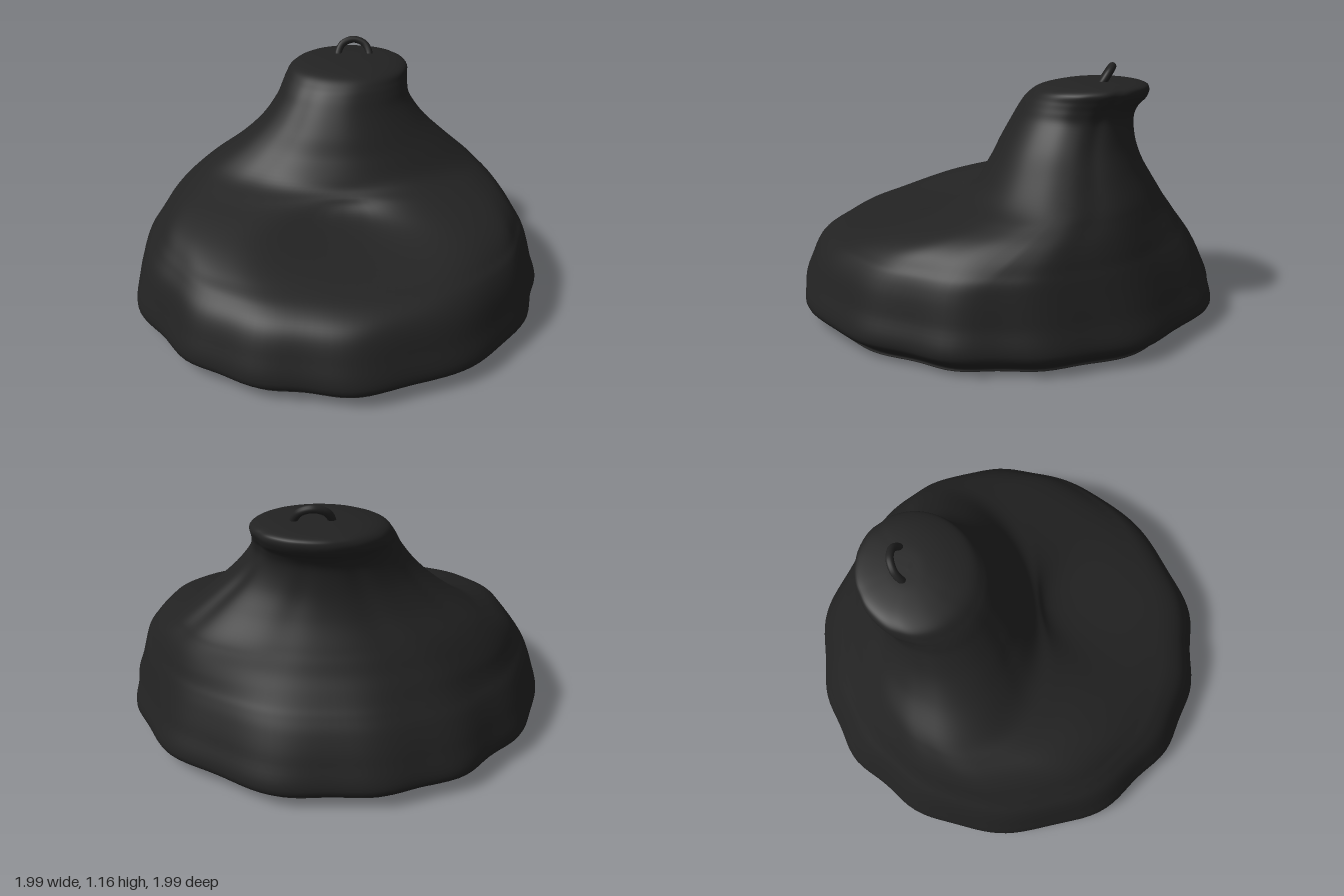
import * as THREE from 'three';

// Rows from floor to crown: [y, xMin, xMax, zFront, zBack]
const ROWS = [
  [0.0, -0.915, 0.915, 0.91, -0.905], [0.02, -0.92, 0.92, 0.915, -0.91],
  [0.08, -0.99, 0.99, 0.99, -0.99], [0.2, -0.965, 0.96, 0.955, -0.95],
  [0.3, -0.93, 0.935, 0.905, -0.9], [0.36, -0.89, 0.915, 0.83, -0.86],
  [0.4, -0.86, 0.89, 0.72, -0.83], [0.45, -0.82, 0.855, 0.56, -0.795],
  [0.5, -0.765, 0.81, 0.4, -0.76], [0.55, -0.695, 0.75, 0.25, -0.73],
  [0.6, -0.62, 0.69, 0.14, -0.7], [0.7, -0.475, 0.57, 0.07, -0.645],
  [0.8, -0.365, 0.46, 0.02, -0.61], [0.9, -0.29, 0.385, -0.035, -0.6],
  [0.96, -0.26, 0.37, -0.07, -0.62], [1.0, -0.24, 0.37, -0.1, -0.655],
  [1.04, -0.21, 0.37, -0.15, -0.665], [1.065, -0.14, 0.32, -0.24, -0.64],
  [1.078, -0.03, 0.2, -0.34, -0.53], [1.08, 0.07, 0.08, -0.42, -0.43],
];
// Cloth folds running down from the neck: [angle in degrees, depth, drift]
const FOLDS = [[-28, 0.03, 10], [128, 0.016, 8], [200, 0.015, 14], [250, 0.02, -10], [285, 0.014, 6]];
const SEGMENTS = 144, STEPS = 114;

const bump = (v, centre, width) => Math.exp(-(((v - centre) / width) ** 2));
const signedPow = (v, p) => Math.sign(v) * Math.abs(v) ** p;

// Irregular scallops around the hem, plus the folds higher up
function ripple(a, y) {
  const hem = 0.011 * Math.sin(14 * a + 0.8 * Math.sin(3 * a)) + 0.006 * Math.sin(9 * a + 1);
  let r = hem * Math.max(0.1, 1 - y / 0.65);
  for (const [deg, depth, drift] of FOLDS) {
    const centre = THREE.MathUtils.degToRad(deg + drift * (1 - y));
    const d = Math.atan2(Math.sin(a - centre), Math.cos(a - centre));
    r -= depth * bump(d, 0, 0.13) * bump(y, 0.8, 0.28);
  }
  return r;
}

// One horizontal section, with a dished seat at the front
function section(y, x0, x1, z1, z0) {
  const cx = (x0 + x1) / 2, cz = (z0 + z1) / 2;
  const rx = (x1 - x0) / 2, rz = (z1 - z0) / 2;
  const seat = bump(y, 0.48, 0.075);
  const points = [];
  for (let j = 0; j < SEGMENTS; j++) {
    const a = (j / SEGMENTS) * Math.PI * 2;
    const power = Math.sin(a) > 0 ? 2 / (2 + 0.9 * seat) : 1;
    const w = 1 + ripple(a, y);
    const x = cx + rx * w * signedPow(Math.cos(a), power);
    let z = cz + rz * w * signedPow(Math.sin(a), power);
    if (Math.sin(a) > 0) z -= 0.2 * seat * bump(x, 0.04, 0.32) * Math.sin(a);
    points.push(new THREE.Vector3(x, y, z));
  }
  return points;
}

function bagGeometry(rings) {
  const positions = [], index = [];
  rings.forEach((ring) => ring.forEach((p) => positions.push(p.x, p.y, p.z)));
  for (let i = 0; i < rings.length - 1; i++) {
    for (let j = 0; j < SEGMENTS; j++) {
      const k = (j + 1) % SEGMENTS;
      const a = i * SEGMENTS + j, b = i * SEGMENTS + k;
      index.push(a, a + SEGMENTS, b, b, a + SEGMENTS, b + SEGMENTS);
    }
  }
  // Close the crown
  const last = (rings.length - 1) * SEGMENTS, tip = positions.length / 3;
  positions.push(0.075, 1.08, -0.425);
  for (let j = 0; j < SEGMENTS; j++) index.push(last + j, tip, last + ((j + 1) % SEGMENTS));
  const geometry = new THREE.BufferGeometry();
  geometry.setAttribute('position', new THREE.Float32BufferAttribute(positions, 3));
  geometry.setIndex(index);
  geometry.computeVertexNormals();
  return geometry;
}

export function createModel() {
  const group = new THREE.Group();
  group.name = 'beanBagChair';
  const fabric = new THREE.MeshStandardMaterial({ color: 0x222222 });
  fabric.name = 'black fabric';
  const add = (name, geometry) => {
    const mesh = new THREE.Mesh(geometry, fabric);
    mesh.name = name;
    group.add(mesh);
    return mesh;
  };

  // Smooth the rows into closely spaced sections
  const curve = (f) => new THREE.CatmullRomCurve3(ROWS.map(f), false, 'catmullrom', 0.5);
  const sides = curve(([y, x0, x1]) => new THREE.Vector3(x0, y, x1));
  const ends = curve(([y, , , z1, z0]) => new THREE.Vector3(z1, y, z0));
  const rings = [];
  for (let i = 0; i <= STEPS; i++) {
    const s = sides.getPoint(i / STEPS), e = ends.getPoint(i / STEPS);
    rings.push(section(Math.max(0, s.y), s.x, s.z, e.x, e.z));
  }
  add('bag', bagGeometry(rings));

  // Flat underside
  const outline = new THREE.Shape(rings[0].map((p) => new THREE.Vector2(p.x, p.z)));
  add('underside', new THREE.ShapeGeometry(outline).rotateX(Math.PI / 2));

  // Carrying loop on the crown, leaning back
  const loop = new THREE.CatmullRomCurve3([
    [-0.078, -0.03], [-0.078, 0.01], [-0.055, 0.055], [0, 0.077],
    [0.055, 0.055], [0.078, 0.01], [0.078, -0.03],
  ].map(([x, y]) => new THREE.Vector3(x, y, 0)));
  const handle = add('carryLoop', new THREE.TubeGeometry(loop, 40, 0.018, 12));
  handle.position.set(0.105, 1.073, -0.455);
  handle.rotation.x = -0.55;
  return group;
}
